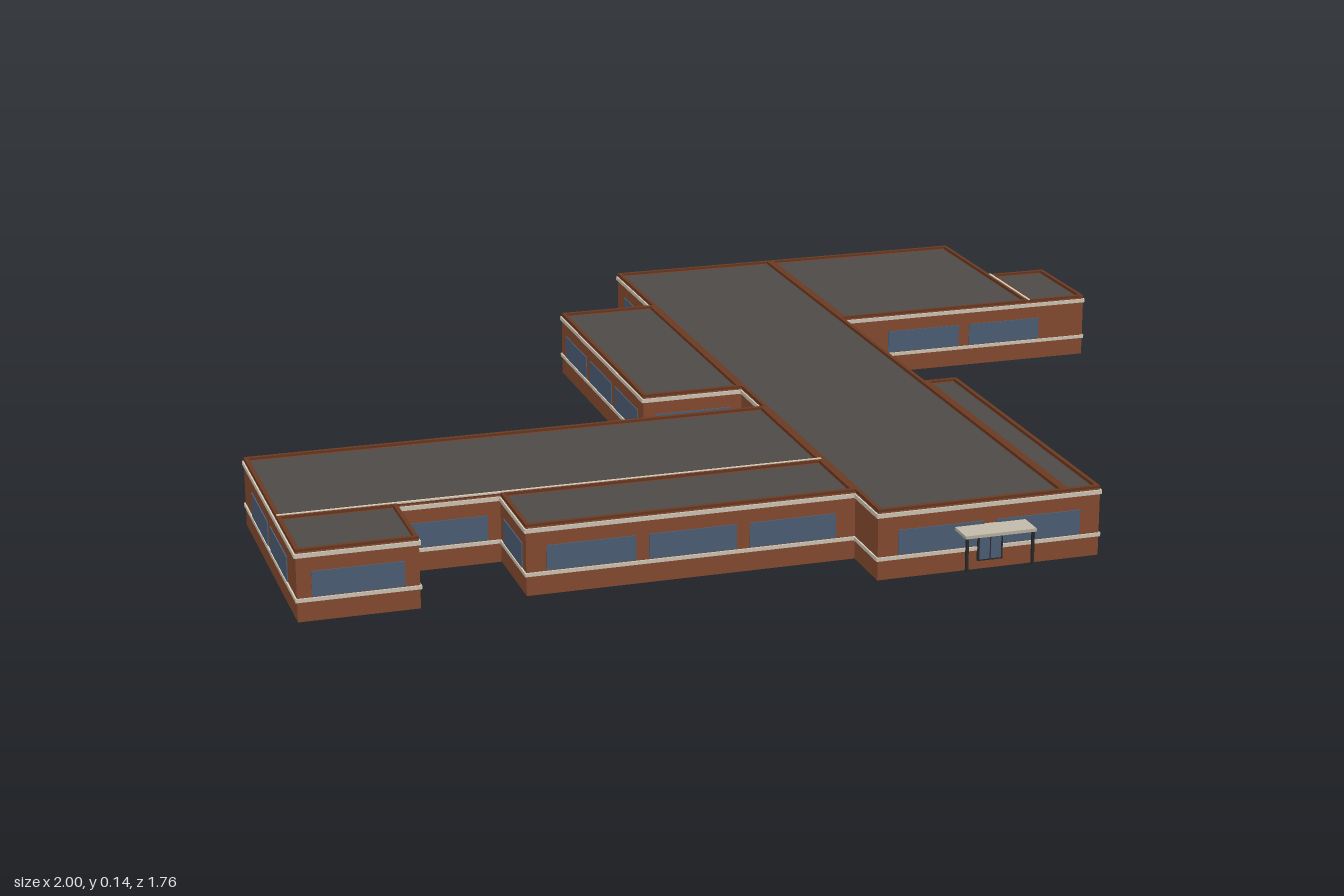
import * as THREE from 'three';

const material = (name, color) => {
  const m = new THREE.MeshStandardMaterial({ color });
  m.name = name;
  return m;
};

export function createModel() {
  const model = new THREE.Group();
  model.name = 'building';
  const brick = material('brick', 0x8c4e32);
  const coping = material('coping brown', 0x6b3a22);
  const roofing = material('roof grey', 0x4d4a48);
  const cream = material('cream band', 0xd8cebc);
  const glass = material('window blue', 0x50627a);
  const canopyTan = material('canopy tan', 0xc2baaa);
  const metal = material('dark metal', 0x2a2a2c);

  const H = 0.137, COPING = 0.005, WALL = 0.008;

  const box = (parent, name, mat, w, h, d, x, y, z) => {
    const mesh = new THREE.Mesh(new THREE.BoxGeometry(w, h, d), mat);
    mesh.name = name;
    mesh.position.set(x, y, z);
    parent.add(mesh);
    return mesh;
  };

  // Rectangular ring of walls, standing on y, open above and below
  const ring = (parent, name, mat, w, d, thick, y, h) => {
    const rect = (T, a, b) => new T([
      new THREE.Vector2(-a, -b), new THREE.Vector2(a, -b),
      new THREE.Vector2(a, b), new THREE.Vector2(-a, b)]);
    const shape = rect(THREE.Shape, w / 2, d / 2);
    shape.holes.push(rect(THREE.Path, w / 2 - thick, d / 2 - thick));
    const geo = new THREE.ExtrudeGeometry(shape, { depth: h, bevelEnabled: false });
    geo.rotateX(-Math.PI / 2);
    const mesh = new THREE.Mesh(geo, mat);
    mesh.name = name;
    mesh.position.y = y;
    parent.add(mesh);
  };

  // Hollow wings: x0, x1, z0, z1
  const wings = {
    mainHall: [0.05, 0.42, -0.88, 0.82],
    backWing: [0.42, 0.865, -0.88, -0.38],
    backAnnex: [0.865, 0.997, -0.61, -0.38],
    rightWing: [-0.16, 0.05, -0.60, 0.03],
    frontWing: [-0.997, 0.05, 0.17, 0.515],
    cornerAnnex: [-0.997, -0.775, 0.515, 0.70],
    frontAnnex: [-0.58, 0.05, 0.515, 0.70],
    sideAisle: [0.42, 0.49, 0.11, 0.82],
  };
  for (const [name, [x0, x1, z0, z1]] of Object.entries(wings)) {
    const wing = new THREE.Group();
    wing.name = name;
    wing.position.set((x0 + x1) / 2, 0, (z0 + z1) / 2);
    const w = x1 - x0, d = z1 - z0;
    ring(wing, 'walls', brick, w, d, WALL, 0, H - COPING);
    ring(wing, 'coping', coping, w, d, WALL, H - COPING, COPING);
    box(wing, 'roof', roofing, w - 2 * WALL, 0.008, d - 2 * WALL, 0, 0.126, 0);
    model.add(wing);
  }

  // Outer facades: bands and evenly spaced windows along the outline
  const outline = [
    [-0.997, 0.17], [-0.997, 0.70], [-0.775, 0.70], [-0.775, 0.515], [-0.58, 0.515],
    [-0.58, 0.70], [0.05, 0.70], [0.05, 0.82], [0.49, 0.82], [0.49, 0.11], [0.42, 0.11],
    [0.42, -0.38], [0.997, -0.38], [0.997, -0.61], [0.865, -0.61], [0.865, -0.88],
    [0.05, -0.88], [0.05, -0.60], [-0.16, -0.60], [-0.16, 0.03], [0.05, 0.03], [0.05, 0.17],
  ];
  outline.forEach(([ax, az], i) => {
    const [bx, bz] = outline[(i + 1) % outline.length];
    const length = Math.hypot(bx - ax, bz - az);
    const facade = new THREE.Group();
    facade.name = 'facade';
    facade.position.set((ax + bx) / 2, 0, (az + bz) / 2);
    facade.rotation.y = Math.atan2(-(bz - az), bx - ax);
    box(facade, 'sillBand', cream, length + 0.004, 0.007, 0.004, 0, 0.041, 0.001);
    box(facade, 'upperBand', cream, length + 0.004, 0.008, 0.004, 0, 0.125, 0.001);
    const count = length > 0.15 ? Math.max(1, Math.floor(length / 0.1945)) : 0;
    const width = Math.min(0.168, length - 0.05);
    for (let k = 0; k < count; k++) {
      const x = (k - (count - 1) / 2) * 0.193;
      box(facade, 'window', glass, width, 0.048, 0.003, x, 0.07, 0.0005);
    }
    model.add(facade);
  });

  // Cream flashing where the annexes meet the taller wings
  box(model, 'flashing', cream, 1.045, 0.003, 0.005, -0.474, H, 0.515);
  box(model, 'flashing', cream, 0.005, 0.003, 0.23, 0.865, H, -0.495);

  // Entrance with canopy
  const entrance = new THREE.Group();
  entrance.name = 'entrance';
  entrance.position.set(0.27, 0, 0.82);
  box(entrance, 'canopy', canopyTan, 0.14, 0.006, 0.055, 0, 0.085, 0.0275);
  for (const side of [-1, 1]) {
    box(entrance, 'post', metal, 0.005, 0.066, 0.005, side * 0.065, 0.049, 0.05);
    box(entrance, 'doorLeaf', glass, 0.02, 0.05, 0.004, side * 0.0112, 0.045, 0.004);
  }
  box(entrance, 'doorFrame', metal, 0.05, 0.056, 0.004, 0, 0.045, 0.003);
  model.add(entrance);

  return model;
}
